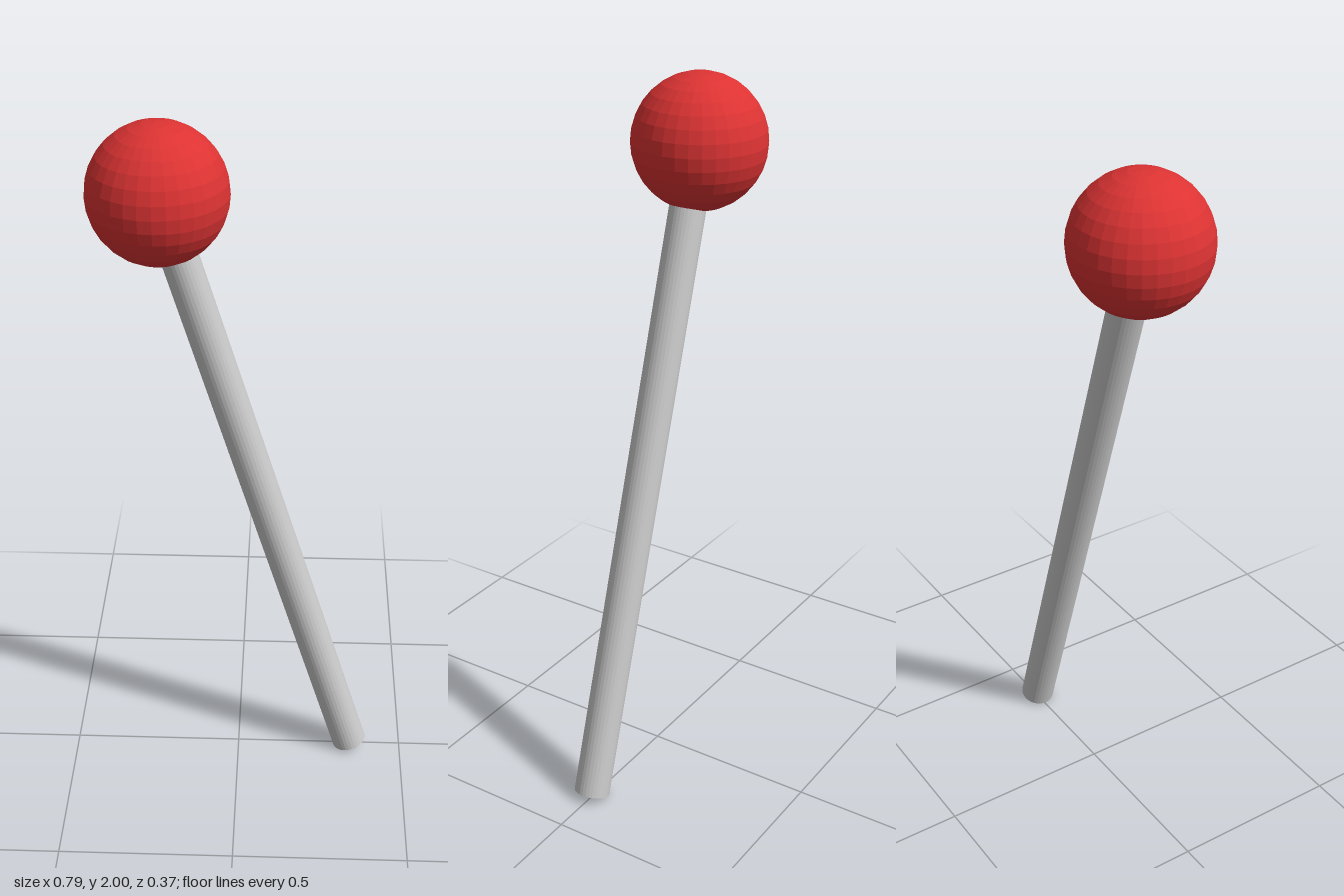
import * as THREE from 'three';

export function createModel() {
  const group = new THREE.Group();
  const knobCentre = new THREE.Vector3(-0.207, 1.813, 0);
  const rodFoot = new THREE.Vector3(0.344, 0.015, 0.003);

  const add = (name, geometry, color) => {
    const material = new THREE.MeshStandardMaterial({ color, flatShading: true });
    const mesh = new THREE.Mesh(geometry, material);
    mesh.name = name;
    group.add(mesh);
    return mesh;
  };

  // Round red knob
  add('knob', new THREE.SphereGeometry(0.187, 32, 16), 0xdd3333).position.copy(knobCentre);

  // Leaning rod, running from its foot into the knob
  const rodTop = knobCentre.clone().setZ(rodFoot.z);
  const axis = rodTop.clone().sub(rodFoot);
  const rod = add('rod', new THREE.CylinderGeometry(0.051, 0.051, axis.length(), 32), 0xcccccc);
  rod.position.copy(rodFoot).lerp(rodTop, 0.5);
  rod.quaternion.setFromUnitVectors(new THREE.Vector3(0, 1, 0), axis.normalize());

  return group;
}
